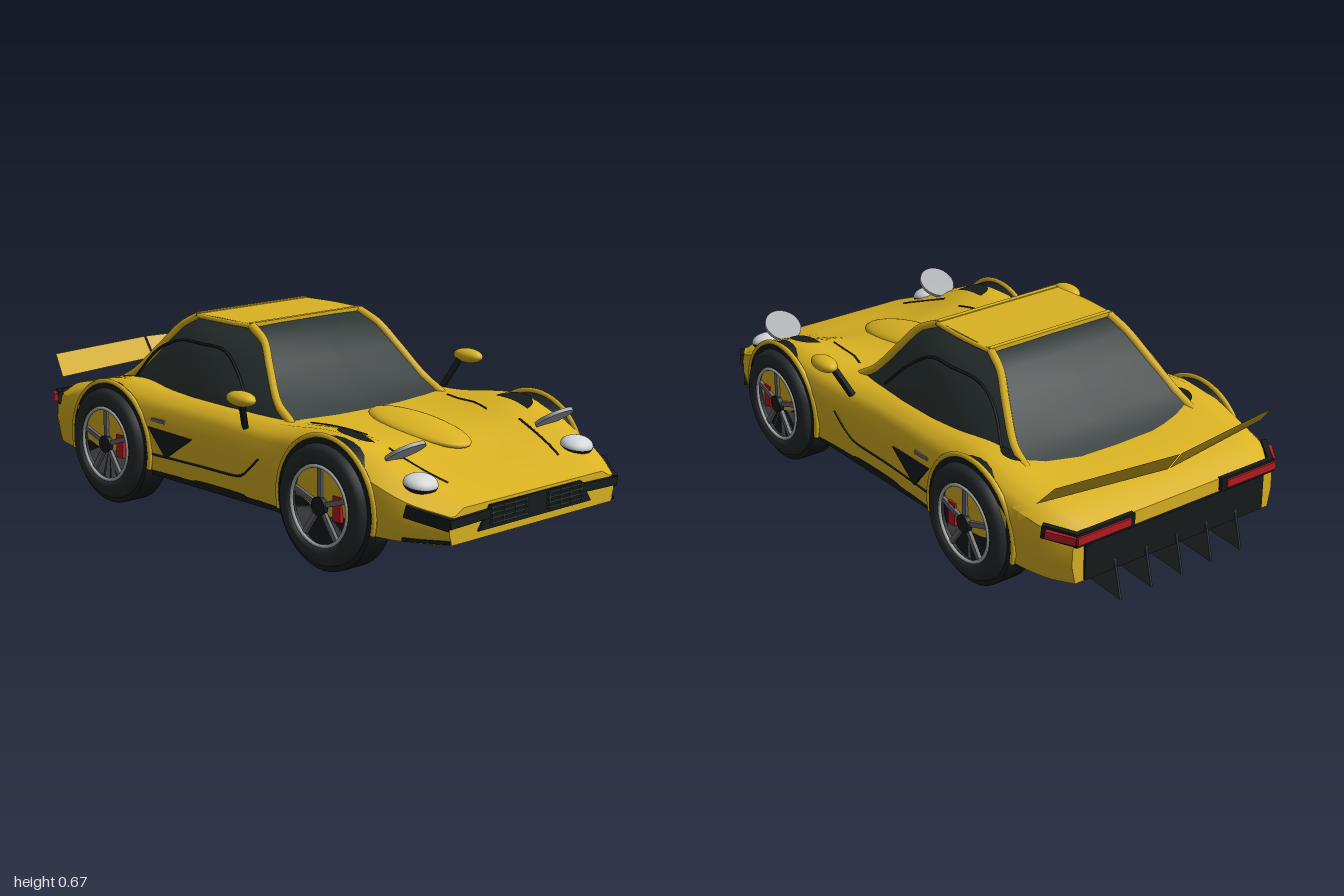
import * as THREE from 'three';
import { toCreasedNormals } from 'three/addons/utils/BufferGeometryUtils.js';

const V = (x, y, z) => new THREE.Vector3(x, y, z);
const mat = (name, color) => {
  const m = new THREE.MeshStandardMaterial({ color });
  m.name = name;
  return m;
};

// Body stations: x, half width, centre height, fender height
const STATIONS = [
  [-0.96, 0.415, 0.31, 0.31], [-0.88, 0.46, 0.345, 0.345], [-0.75, 0.485, 0.37, 0.378],
  [-0.55, 0.497, 0.385, 0.42], [-0.3, 0.479, 0.39, 0.405], [0, 0.465, 0.39, 0.395],
  [0.25, 0.475, 0.382, 0.39], [0.55, 0.497, 0.352, 0.415], [0.72, 0.487, 0.31, 0.355],
  [0.86, 0.452, 0.28, 0.29], [0.975, 0.38, 0.248, 0.248]];
const BOTTOM = 0.14;

// Smooth interpolation of one station column at x
function at(x, col) {
  let i = 0;
  while (i < STATIONS.length - 2 && x > STATIONS[i + 1][0]) i++;
  const p = STATIONS[i], q = STATIONS[i + 1];
  const slope = k => {
    const a = STATIONS[Math.max(k - 1, 0)], b = STATIONS[Math.min(k + 1, STATIONS.length - 1)];
    return (b[col] - a[col]) / (b[0] - a[0]);
  };
  const h = q[0] - p[0], t = THREE.MathUtils.clamp((x - p[0]) / h, 0, 1), t2 = t * t, t3 = t2 * t;
  return (2 * t3 - 3 * t2 + 1) * p[col] + (t3 - 2 * t2 + t) * h * slope(i)
    + (3 * t2 - 2 * t3) * q[col] + (t3 - t2) * h * slope(i + 1);
}

// Half cross-section from the top centre down to the sill, as [z, y]
function section(x) {
  const w = at(x, 1), c = at(x, 2), f = at(x, 3), mix = THREE.MathUtils.lerp;
  return [[0, c], [0.3 * w, c], [0.55 * w, mix(c, f, 0.4)], [0.72 * w, mix(c, f, 0.9)], [0.84 * w, f],
    [0.94 * w, f - 0.02], [0.985 * w, mix(BOTTOM, f, 0.82)], [w, mix(BOTTOM, f, 0.65)],
    [w, mix(BOTTOM, f, 0.35)], [0.97 * w, BOTTOM]];
}
function topY(x, z) {
  const s = section(x);
  let i = 0;
  while (i < 5 && Math.abs(z) > s[i + 1][0]) i++;
  return THREE.MathUtils.mapLinear(Math.abs(z), s[i][0], s[i + 1][0], s[i][1], s[i + 1][1]);
}
const sideZ = (x, y) => at(x, 1) * (y < 0.23 ? 1 - 0.03 * (0.23 - y) / 0.09 : 1);

// Skin over closed rings with both ends capped
function loft(rings, crease = 0.6) {
  const n = rings[0].length, pos = [], idx = [];
  rings.forEach(r => r.forEach(p => pos.push(p.x, p.y, p.z)));
  for (let i = 0; i < rings.length - 1; i++) for (let j = 0; j < n; j++) {
    const a = i * n + j, b = i * n + (j + 1) % n;
    idx.push(a, b, a + n, b, b + n, a + n);
  }
  [0, rings.length - 1].forEach((k, end) => {
    const c = rings[k].reduce((s, p) => s.add(p), V(0, 0, 0)).divideScalar(n), ci = pos.length / 3;
    pos.push(c.x, c.y, c.z);
    for (let j = 0; j < n; j++) {
      const a = k * n + j, b = k * n + (j + 1) % n;
      end ? idx.push(ci, a, b) : idx.push(ci, b, a);
    }
  });
  const g = new THREE.BufferGeometry();
  g.setAttribute('position', new THREE.Float32BufferAttribute(pos, 3));
  g.setIndex(idx);
  return toCreasedNormals(g, crease);
}
function mirrored(geo) {
  const g = geo.index ? geo.toNonIndexed() : geo.clone();
  g.scale(1, 1, -1);
  const n = g.attributes.position.count;
  g.setIndex(Array.from({ length: n }, (_, i) => i - i % 3 + 2 - i % 3));
  return g;
}
const box = (w, h, d, x, y, z) => new THREE.BoxGeometry(w, h, d).translate(x, y, z);
const ball = (x, y, z, rx, ry, rz) => new THREE.SphereGeometry(1, 28, 16).scale(rx, ry, rz).translate(x, y, z);
const tube = (pts, r) => new THREE.TubeGeometry(new THREE.CatmullRomCurve3(pts), 28, r, 6);
// Box beam running from a to b
function beam(a, b, h, d) {
  const dir = b.clone().sub(a), len = dir.length();
  return new THREE.BoxGeometry(len, h, d)
    .applyQuaternion(new THREE.Quaternion().setFromUnitVectors(V(1, 0, 0), dir.normalize()))
    .translate((a.x + b.x) / 2, (a.y + b.y) / 2, (a.z + b.z) / 2);
}

export function createModel() {
  const car = new THREE.Group();
  car.name = 'sportsCar';
  const yellow = mat('yellowPaint', 0xdab222), glass = mat('darkGlass', 0x2b3433), black = mat('blackTrim', 0x161b1c);
  const rubber = mat('tyreRubber', 0x252a2a), grey = mat('rimGrey', 0x67686b), silver = mat('silver', 0xa9adb0);
  const white = mat('lampWhite', 0xd3d7d9), red = mat('red', 0xb81a22), wingPaint = mat('wingYellow', 0xd0a922);
  wingPaint.side = THREE.DoubleSide;
  const add = (name, geo, m) => {
    const mesh = new THREE.Mesh(geo, m);
    mesh.name = name;
    car.add(mesh);
  };
  const both = (name, geo, m) => {
    add(name + 'Left', mirrored(geo), m);
    add(name + 'Right', geo, m);
  };

  // Body shell, floor and hood bulge
  const rings = [];
  for (let i = 0; i <= 64; i++) {
    const x = -0.96 + 1.935 * i / 64, s = section(x);
    rings.push([...s.map(([z, y]) => V(x, y, z)), ...s.slice(1).reverse().map(([z, y]) => V(x, y, -z))]);
  }
  add('body', loft(rings), yellow);
  add('floor', box(1.5, 0.025, 0.91, -0.01, 0.1325, 0), black);
  add('hoodBulge', ball(0, 0, 0, 0.215, 0.03, 0.1).rotateZ(-0.13).translate(0.475, 0.358, 0), yellow);

  // Cabin levels: y, front x, rear x, corner z, middle z
  const levels = [[0.36, 0.27, -0.71, 0.355, 0.39], [0.39, 0.23, -0.65, 0.345, 0.388], [0.43, 0.165, -0.58, 0.335, 0.376],
    [0.535, 0.075, -0.48, 0.293, 0.338], [0.605, 0.015, -0.415, 0.262, 0.298], [0.645, -0.065, -0.345, 0.245, 0.255]];
  add('cabinGlass', loft(levels.map(([y, f, r, c, m]) => {
    const side = [0.1, 0.3, 0.5, 0.7, 0.9].map(t => [f + (r - f) * t, c + (m - c) * Math.sin(Math.PI * t)]);
    return [V(f, y, c), V(f + 0.012, y, 0), V(f, y, -c), ...side.map(([x, z]) => V(x, y, -z)),
      V(r, y, -c), V(r - 0.008, y, 0), V(r, y, c), ...side.reverse().map(([x, z]) => V(x, y, z))];
  }), 0.7), glass);
  add('roof', box(0.285, 0.016, 0.5, -0.205, 0.646, 0), yellow);
  both('roofRail', tube([V(-0.345, 0.645, 0.248), V(-0.205, 0.646, 0.256), V(-0.065, 0.645, 0.248)], 0.009), yellow);
  both('frontPillar', tube(levels.map(([y, f, , c]) => V(f, y, c)), 0.015), yellow);
  both('rearPillar', tube(levels.map(([y, , r, c]) => V(r, y, c)), 0.015), yellow);
  for (const x of [-0.345, -0.068]) add('roofEdge', beam(V(x, 0.65, -0.25), V(x, 0.65, 0.25), 0.014, 0.018), yellow);
  both('sideWindowSeal', tube([V(-0.55, 0.42, 0.362), V(-0.47, 0.52, 0.33), V(-0.37, 0.565, 0.312),
    V(-0.24, 0.572, 0.322), V(-0.12, 0.565, 0.32), V(-0.03, 0.51, 0.342), V(0.06, 0.42, 0.377)], 0.005), black);

  // Wheels
  const tyreProfile = [[0, -0.07], [0.165, -0.075], [0.188, -0.062], [0.195, -0.035], [0.195, 0.04], [0.189, 0.062],
    [0.175, 0.073], [0.15, 0.075], [0.132, 0.068], [0.128, 0.03]].map(p => new THREE.Vector2(...p));
  for (const [pre, cx] of [['front', 0.545], ['rear', -0.545]]) {
    const put = g => g.translate(cx, 0.2, 0.44);
    const disc = (r, d, z) => new THREE.CylinderGeometry(r, r, d, 40).rotateX(Math.PI / 2).translate(0, 0, z);
    both(pre + 'Tyre', put(new THREE.LatheGeometry(tyreProfile, 48).rotateX(Math.PI / 2)), rubber);
    both(pre + 'WheelWell', put(disc(0.21, 0.09, 0.002)), black);
    both(pre + 'ArchLip', put(new THREE.TorusGeometry(0.217, 0.009, 6, 40, Math.PI * 1.16)
      .rotateZ(-Math.PI * 0.08).translate(0, 0, 0.041)), yellow);
    both(pre + 'Rim', put(disc(0.13, 0.01, 0.042)), grey);
    both(pre + 'RimLip', put(new THREE.TorusGeometry(0.126, 0.006, 8, 40).translate(0, 0, 0.067)), silver);
    both(pre + 'Caliper', put(box(0.034, 0.08, 0.014, 0.072, 0.003, 0.054)), red);
    for (let i = 0; i < 5; i++) both(pre + 'Spoke',
      put(box(0.1, 0.017, 0.012, 0.072, 0, 0.06).rotateZ(Math.PI / 2 + i * Math.PI * 0.4)), grey);
    both(pre + 'Hub', put(disc(0.03, 0.016, 0.064)), black);
  }

  // Side intake, door seam and small badge plate
  const intake = new THREE.ExtrudeGeometry(new THREE.Shape(
    [[-0.33, 0.295], [-0.245, 0.2], [-0.115, 0.285]].map(p => new THREE.Vector2(...p))), { depth: 0.008, bevelEnabled: false });
  const ip = intake.attributes.position;
  for (let i = 0; i < ip.count; i++) ip.setZ(i, ip.getZ(i) - 0.002 + at(ip.getX(i), 1));
  both('sideIntake', intake, black);
  const seam = pts => pts.map(([x, y]) => V(x, y, sideZ(x, y)));
  both('doorSeam', tube(seam([[-0.33, 0.2], [-0.1, 0.2], [0.1, 0.203], [0.13, 0.21], [0.18, 0.245], [0.225, 0.285]]), 0.004), black);
  both('sideMark', box(0.07, 0.012, 0.006, -0.285, 0.322, at(-0.285, 1)), grey);

  // Hood seams and dark fender patches that follow the body
  const onTop = pts => pts.map(([x, z]) => V(x, topY(x, z), z));
  both('hoodSeam', tube(onTop([[0.3, 0.315], [0.37, 0.295], [0.45, 0.29], [0.52, 0.275]]), 0.004), black);
  both('noseSeam', tube(onTop([[0.64, 0.3], [0.72, 0.29], [0.79, 0.275], [0.85, 0.255]]), 0.004), black);
  for (const [x, z, r] of [[0.56, 0.35, 0.07], [-0.59, 0.335, 0.05]]) {
    const g = new THREE.RingGeometry(0.001, r, 18, 6, Math.PI, Math.PI).rotateX(-Math.PI / 2).translate(x, 0, z);
    const p = g.attributes.position;
    for (let i = 0; i < p.count; i++) p.setY(i, topY(p.getX(i), p.getZ(i)) + 0.004);
    both('fenderPatch', g, black);
  }

  // Headlamps with raised lids
  const half = start => new THREE.SphereGeometry(1, 28, 10, 0, Math.PI * 2, start, Math.PI / 2)
    .scale(0.052, 0.03, 0.057).rotateZ(-0.2).translate(0.835, 0.302, 0.36);
  both('headlampLens', half(0), white);
  both('headlampBase', half(Math.PI / 2), black);
  both('headlampLid', new THREE.CylinderGeometry(0.066, 0.066, 0.012, 32).rotateZ(0.57).translate(0.752, 0.383, 0.342), silver);

  // Mirrors
  both('mirror', ball(0.2, 0.483, 0.522, 0.062, 0.025, 0.035), yellow);
  both('mirrorStalk', beam(V(0.14, 0.37, 0.455), V(0.18, 0.475, 0.505), 0.018, 0.018), black);

  // Nose grille and bumper strips
  const grille = new THREE.Shape([[-0.26, 0.165], [0.26, 0.165], [0.21, 0.238], [-0.21, 0.238]].map(p => new THREE.Vector2(...p)));
  add('grillePanel', new THREE.ExtrudeGeometry(grille, { depth: 0.01, bevelEnabled: false }).rotateY(Math.PI / 2).translate(0.973, 0, 0), black);
  for (let i = 0; i < 4; i++) both('grilleSlat', box(0.012, 0.007, 0.17, 0.984, 0.182 + i * 0.016, 0.13), glass);
  for (let i = 0; i < 4; i++) both('grilleRib', box(0.014, 0.06, 0.006, 0.984, 0.206, 0.055 + i * 0.05), glass);
  both('bumperStrip', beam(V(0.976, 0.213, 0.2), V(0.976, 0.208, 0.385), 0.028, 0.02), black);
  both('bumperCorner', beam(V(0.86, 0.24, 0.45), V(0.978, 0.206, 0.378), 0.038, 0.022), black);
  both('bumperLip', beam(V(0.85, 0.15, 0.452), V(0.975, 0.15, 0.375), 0.01, 0.012), black);

  // Tail panel, lights and diffuser fins
  add('tailPanel', box(0.016, 0.12, 0.74, -0.96, 0.205, 0), black);
  both('lightFrame', beam(V(-0.964, 0.292, 0.18), V(-0.964, 0.292, 0.41), 0.045, 0.018), black);
  both('lightFrameCorner', beam(V(-0.964, 0.292, 0.4), V(-0.87, 0.304, 0.46), 0.045, 0.018), black);
  both('tailLight', beam(V(-0.97, 0.293, 0.2), V(-0.97, 0.293, 0.41), 0.026, 0.02), red);
  both('tailLightCorner', beam(V(-0.968, 0.293, 0.405), V(-0.89, 0.303, 0.462), 0.026, 0.024), red);
  const fin = new THREE.Shape([[-1, 0.05], [-0.71, 0.073], [-0.71, 0.11], [-0.87, 0.15], [-0.965, 0.19]].map(p => new THREE.Vector2(...p)));
  for (let i = -2; i <= 2; i++) add('diffuserFin',
    new THREE.ExtrudeGeometry(fin, { depth: 0.008, bevelEnabled: false }).translate(0, 0, i * 0.126 - 0.004), glass);
  add('diffuserPlate', beam(V(-0.71, 0.105, 0), V(-0.95, 0.15, 0), 0.012, 0.62), black);

  // Swept rear wing in two thin halves
  const wing = new THREE.BufferGeometry();
  wing.setAttribute('position', new THREE.Float32BufferAttribute([
    -0.92, 0.385, 0.004, -0.97, 0.457, 0.004, -0.912, 0.457, 0.447, -0.848, 0.385, 0.465], 3));
  wing.setIndex([0, 1, 2, 0, 2, 3]);
  const flatWing = wing.toNonIndexed();
  flatWing.computeVertexNormals();
  if (flatWing.attributes.normal.getY(0) < 0) {
    wing.setIndex([0, 2, 1, 0, 3, 2]);
    flatWing.copy(wing.toNonIndexed()).computeVertexNormals();
  }
  both('rearWing', flatWing, wingPaint);
  return car;
}
